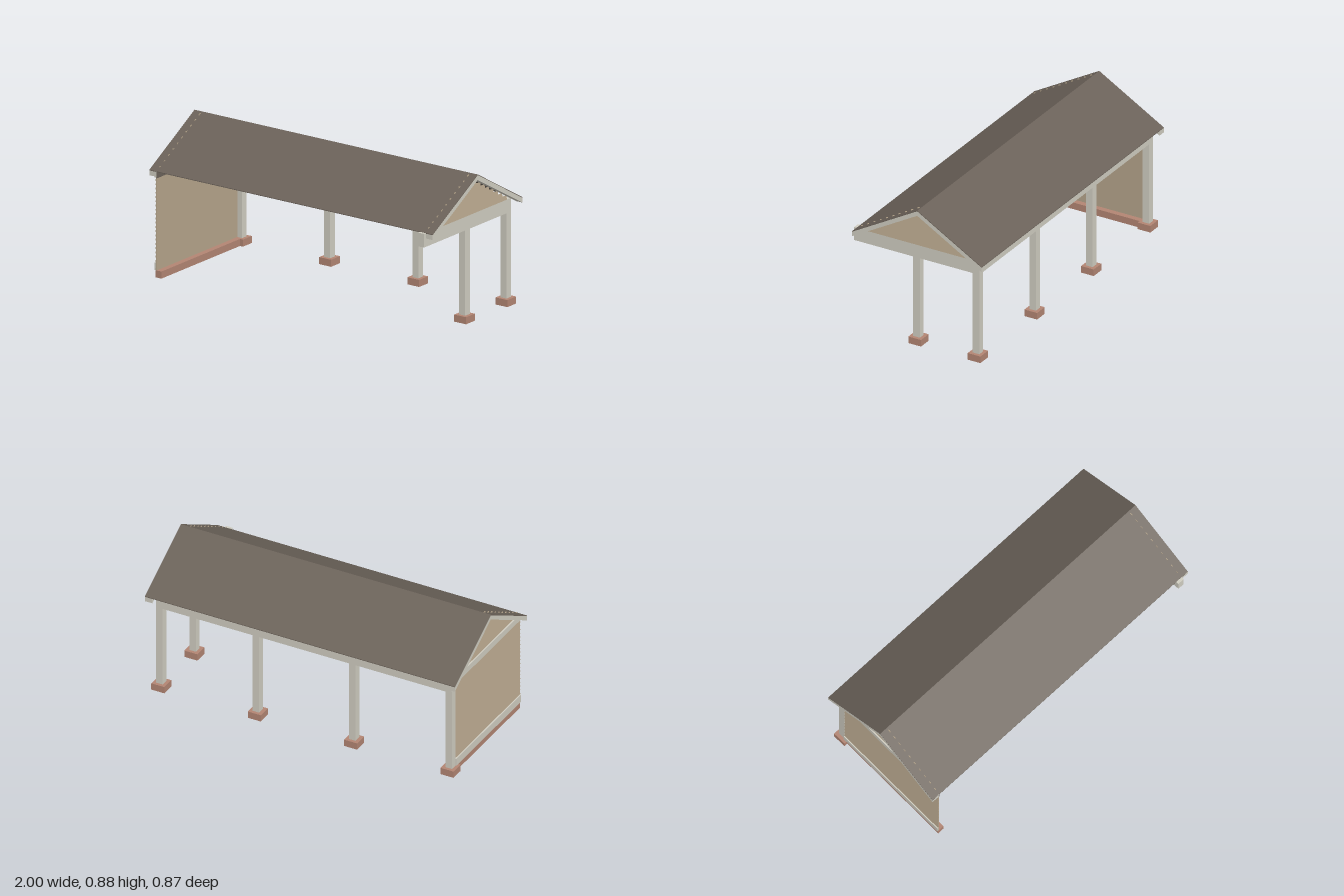
import * as THREE from 'three';

const mat = (name, color) => {
  const m = new THREE.MeshStandardMaterial({ color });
  m.name = name;
  return m;
};

export function createModel() {
  const group = new THREE.Group();
  const frame = mat('pale timber', 0xcfccc0);
  const siding = mat('tan siding', 0xb4a38a);
  const brick = mat('red brick', 0xb28573);
  const roof = mat('dark roof', 0x6b6259);

  const add = (name, geometry, material) => {
    const m = new THREE.Mesh(geometry, material);
    m.name = name;
    group.add(m);
    return m;
  };
  // Box given by its limits on each axis
  const box = (name, material, x0, x1, y0, y1, z0, z1) => {
    const g = new THREE.BoxGeometry(x1 - x0, y1 - y0, z1 - z0);
    g.translate((x0 + x1) / 2, (y0 + y1) / 2, (z0 + z1) / 2);
    return add(name, g, material);
  };
  // Prism along x from a [z, y] outline
  const prismX = (name, material, outline, x0, x1) => {
    const shape = new THREE.Shape(outline.map(([z, y]) => new THREE.Vector2(-z, y)));
    const g = new THREE.ExtrudeGeometry(shape, { depth: x1 - x0, bevelEnabled: false });
    g.rotateY(Math.PI / 2);
    g.translate(x0, 0, 0);
    return add(name, g, material);
  };
  // Lapped board: thin wedge along z, thicker at its lower edge
  const board = (name, x, side, y, h, z0, z1) => {
    const shape = new THREE.Shape([[0, 0], [0.008, 0], [0.003, h], [0, h]]
      .map(([px, py]) => new THREE.Vector2(x + side * px, y + py)));
    const g = new THREE.ExtrudeGeometry(shape, { depth: z1 - z0, bevelEnabled: false });
    g.translate(0, 0, z0);
    return add(name, g, siding);
  };

  const FRONT = 0.42, BACK = -0.437, RIDGE = -0.01;
  // Chevron between a lower and an upper offset from the roof line
  const chevron = (lo, hi) => [
    [FRONT, 0.632 + lo], [FRONT, 0.632 + hi], [RIDGE, 0.878 + hi],
    [BACK, 0.632 + hi], [BACK, 0.632 + lo], [RIDGE, 0.878 + lo],
  ];

  // Roof sheet and the rake boards under its overhanging ends
  prismX('roofSheet', roof, chevron(-0.003, 0.001), -1, 1);
  prismX('rakeBoardLeft', frame, chevron(-0.032, -0.003), 0.953, 1);
  prismX('rakeBoardRight', frame, chevron(-0.032, -0.003), -1, -0.953);

  // Posts on open-centred brick footings
  const post = (x, z) => {
    box('post', frame, x - 0.021, x + 0.021, 0.04, 0.56, z - 0.022, z + 0.022);
    const square = (s) => [[-s, -s], [s, -s], [s, s], [-s, s]].map(([a, b]) => new THREE.Vector2(a, b));
    const shape = new THREE.Shape(square(0.042));
    shape.holes.push(new THREE.Path(square(0.0205).reverse()));
    const g = new THREE.ExtrudeGeometry(shape, { depth: 0.042, bevelEnabled: false });
    g.rotateX(-Math.PI / 2);
    g.translate(x, 0, z);
    add('footing', g, brick);
  };
  for (const x of [-0.936, -0.314, 0.308, 0.931]) post(x, -0.37);
  post(0.931, 0.023);

  // Beams
  box('backBeam', frame, -0.955, 0.91, 0.55, 0.634, -0.392, -0.349);
  box('gableBeam', frame, 0.91, 0.952, 0.55, 0.632, -0.392, 0.437);

  // End wall: brick plinth, lapped boards, outer trims and inner top band
  box('wallPlinth', brick, -0.955, -0.915, 0, 0.042, -0.329, FRONT);
  const rows = 22, rowH = (0.6 - 0.042) / rows;
  for (let i = 0; i < rows; i++) board('wallBoard', -0.949, -1, 0.042 + i * rowH, rowH, -0.35, FRONT);
  box('wallBottomTrim', frame, -0.962, -0.952, 0.042, 0.088, -0.35, FRONT);
  box('wallTopTrim', frame, -0.962, -0.949, 0.595, 0.634, -0.35, FRONT);
  box('wallTopBand', roof, -0.949, -0.946, 0.592, 0.632, -0.35, FRONT);

  // Stepped boards filling both gables
  for (const side of [-1, 1]) {
    for (let i = 0; i < 10; i++) {
      const back = Math.min(-0.35 + 0.0415 * i, -0.01);
      board('gableBoard', side * 0.946, side, 0.632 + 0.024 * i, 0.024, back, 0.392 - 0.0415 * i);
    }
  }
  return group;
}
